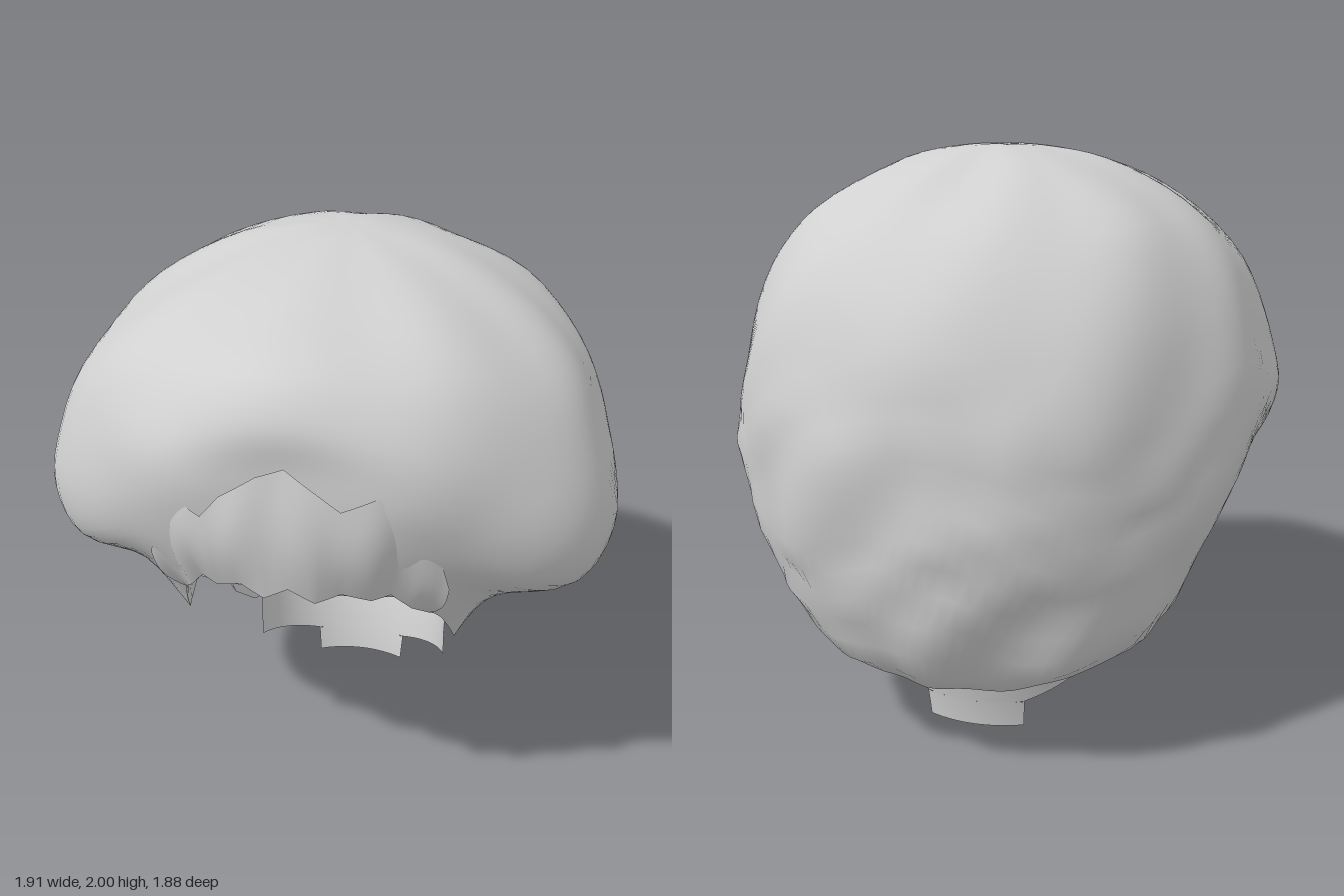
import * as THREE from 'three';

const RAD = Math.PI / 180;
const polar = (deg, r, y) => new THREE.Vector3(r * Math.sin(deg * RAD), y, r * Math.cos(deg * RAD));

// Surface from fn(u, v); u runs around, v runs downwards
function grid(fn, nu, nv, wrap = false) {
  const pos = [], idx = [], cols = wrap ? nu : nu + 1;
  for (let j = 0; j <= nv; j++)
    for (let i = 0; i < cols; i++) pos.push(...fn(i / nu, j / nv).toArray());
  for (let j = 0; j < nv; j++)
    for (let i = 0; i < nu; i++) {
      const k = (i + 1) % cols, a = j * cols + i, b = j * cols + k;
      const c = a + cols, d = b + cols;
      idx.push(a, c, b, b, c, d);
    }
  const g = new THREE.BufferGeometry();
  g.setAttribute('position', new THREE.Float32BufferAttribute(pos, 3));
  g.setIndex(idx);
  g.computeVertexNormals();
  return g;
}

// Linear lookup in rows of [key, ...values]
function lookup(table, x) {
  let i = 1;
  while (i < table.length - 1 && table[i][0] < x) i++;
  const a = table[i - 1], b = table[i];
  const t = THREE.MathUtils.clamp((x - a[0]) / (b[0] - a[0]), 0, 1);
  return a.slice(1).map((v, k) => v + (b[k + 1] - v) * t);
}

// Hair profiles [radius, height] from crown to underside, every 30 degrees, front to back
const PROFILES = [
  [[.35, 1.96], [.62, 1.89], [.82, 1.82], [.91, 1.7], [.91, 1.57], [.905, 1.45], [.89, 1.3]],
  [[.35, 1.96], [.62, 1.88], [.82, 1.77], [.93, 1.6], [.955, 1.42], [.92, 1.26], [.85, 1.12]],
  [[.36, 1.95], [.64, 1.83], [.85, 1.66], [.97, 1.42], [1.02, 1.2], [.97, 1.04], [.73, .9]],
  [[.35, 1.95], [.62, 1.8], [.79, 1.62], [.89, 1.4], [.94, 1.18], [.9, 1.02], [.68, .86]],
  [[.36, 1.93], [.64, 1.78], [.8, 1.58], [.9, 1.3], [.93, 1.02], [.88, .75], [.72, .45]],
  [[.36, 1.93], [.65, 1.76], [.82, 1.56], [.93, 1.25], [.94, .95], [.88, .62], [.73, .35]],
  [[.4, 1.89], [.65, 1.75], [.81, 1.56], [.9, 1.32], [.935, 1.08], [.91, .7], [.7, .28]],
];

// Rim of the opening: [degrees from front, radius, height]
const RIM = [
  [0, .9, 1.18], [5, .89, 1.13], [10, .88, 1.16], [16, .86, 1.12], [20, .85, 1.13], [25, .82, 1.05],
  [35, .73, .93], [45, .65, .75], [52, .6, .75], [60, .54, .82], [68, .5, .845], [80, .47, .82],
  [87, .46, .78], [90, .46, .62], [94, .46, .53], [99, .46, .45], [112, .43, .36], [154, .46, .35],
  [158, .47, .31], [180, .47, .31],
];
const fold = (deg) => { const d = ((deg % 360) + 360) % 360; return d > 180 ? 360 - d : d; };
const rim = (deg) => lookup(RIM, fold(deg));

// Soft uneven lumps, stronger towards the nape
function lump(deg, y) {
  const a = deg * RAD, back = (1 - Math.cos(a)) / 2;
  const low = THREE.MathUtils.clamp((1.5 - y) / 0.8, 0, 1) * back;
  const warp = 1.1 * Math.sin(4 * a + 5 * y) + 0.8 * Math.sin(3 * a - 9 * y);
  const soft = Math.sin(5 * a + 3 * y + warp) + Math.sin(9 * a - 6 * y + 1);
  const rough = Math.sin(13 * a + 11 * y + 2 * warp) + Math.sin(8 * a - 21 * y - 1.5 * warp);
  return 0.006 * soft + 0.01 * low * rough;
}

function hairGeometry() {
  const rings = PROFILES[0].map((_, row) => new THREE.CatmullRomCurve3(
    Array.from({ length: 12 }, (_, i) => {
      const [r, y] = PROFILES[i > 6 ? 12 - i : i][row];
      return new THREE.Vector3(r, y, 0);
    }), true, 'catmullrom'));
  const N = 120, columns = [];
  for (let i = 0; i < N; i++) {
    const [r, y] = rim(i / N * 360);
    columns.push(new THREE.CatmullRomCurve3([
      new THREE.Vector3(0, 2, 0), new THREE.Vector3(0.13, 1.995, 0),
      ...rings.map((c) => c.getPoint(i / N)), new THREE.Vector3(r, y, 0)], false, 'centripetal'));
  }
  return grid((u, v) => {
    const p = columns[Math.round(u * N) % N].getPoint(v), deg = u * 360;
    const k = Math.min(1, 3 * v * v * 3) * Math.min(1, 8 * (1 - v));
    return polar(deg, p.x + k * lump(deg, p.y), p.y + 0.5 * k * lump(deg + 40, p.y));
  }, N, 36, true);
}

// Smooth head-shaped lining that rises from the rim to a dome
function liningGeometry() {
  return grid((u, v) => {
    const deg = u * 360, [r, y0] = rim(deg), s = Math.sin(deg * RAD), c = Math.cos(deg * RAD);
    const y = y0 + (1.76 - y0) * Math.sin((1 - v) * Math.PI / 2);
    const head = 1 / Math.hypot(s / 0.56, c / (c > 0 ? 0.76 : 0.68));
    const h = (y - 1.05) / (y > 1.05 ? 0.71 : 0.95);
    const dome = head * Math.sqrt(Math.max(0, 1 - h * h));
    return polar(deg, THREE.MathUtils.lerp(dome, r, v ** 4), y);
  }, 120, 20, true);
}

// Scalloped fringe lying over the forehead
const FRINGE_TOP = [
  [-31, 1.17], [-29, 1.28], [-26, 1.42], [-21, 1.43], [-16, 1.4], [-12, 1.48], [-5, 1.56], [0, 1.59],
  [6, 1.52], [10, 1.47], [16, 1.51], [21, 1.53], [24, 1.43], [29, 1.25], [31, 1.15],
];
function fringeGeometry() {
  return grid((u, v) => {
    const deg = -31 + 62 * u, [r, y] = rim(deg), [top] = lookup(FRINGE_TOP, deg);
    const rTop = 0.915 + 0.025 * Math.sin(Math.min(1, Math.abs(deg) / 20) * Math.PI / 2)
      - 0.04 * (deg / 31) ** 4;
    const bulge = (0.027 + 0.006 * Math.sin(deg * 0.5)) * Math.sin(v * Math.PI);
    return polar(deg, THREE.MathUtils.lerp(rTop, r + 0.004, v) + bulge,
      THREE.MathUtils.lerp(top, y, v));
  }, 62, 8);
}

// Curved band behind the neck, between two heights
function napeGeometry(half, yTop, bottom) {
  return grid((u, v) => {
    const off = (2 * u - 1) * half, y = THREE.MathUtils.lerp(yTop, bottom(Math.abs(off)), v);
    const side = Math.min(1, Math.abs(off) / 68);
    return polar(180 + off, THREE.MathUtils.lerp(0.39 + 0.15 * y + 0.4 * y * y, 0.4, side * side), y);
  }, 32, 8);
}

export function createModel() {
  const group = new THREE.Group();
  const grey = new THREE.MeshStandardMaterial({ color: 0xd0d0d0, side: THREE.DoubleSide });
  grey.name = 'hairGrey';
  const add = (name, geometry) => {
    const mesh = new THREE.Mesh(geometry, grey);
    mesh.name = name;
    group.add(mesh);
  };
  add('hair', hairGeometry());
  add('innerLining', liningGeometry());
  add('fringe', fringeGeometry());
  add('napeBand', napeGeometry(68, 0.42, (d) => 0.1 + 0.1 * Math.max(0, (d - 25) / 43)));
  add('napeTab', napeGeometry(26, 0.1, () => 0));
  return group;
}
